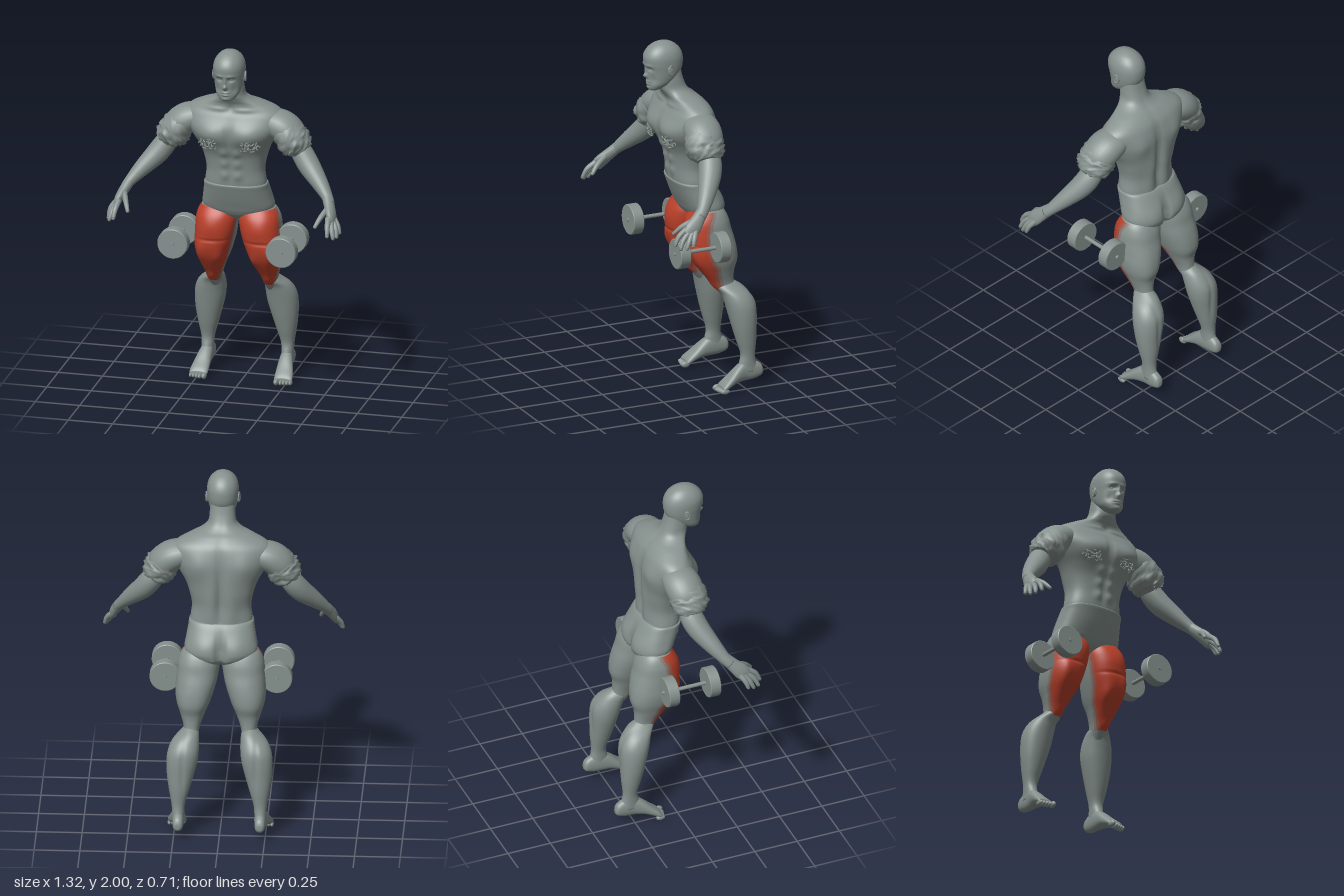
import * as THREE from 'three';

const mat = (name, color) => Object.assign(new THREE.MeshStandardMaterial({ color }), { name });
const grey = mat('body grey', 0x86918e);
const red = mat('muscle red', 0xbb402a);
const blend = mat('muscle edge', 0x9a594c);
const faint = mat('muscle fade', 0x8d776f);

// Smoothly interpolate a short table of section rows
function refine(rows, n) {
  const out = [], last = rows.length - 1;
  for (let i = 0; i < last; i++) {
    const [a, b, c, d] = [rows[Math.max(i - 1, 0)], rows[i], rows[i + 1], rows[Math.min(i + 2, last)]];
    for (let k = 0; k < n; k++) {
      const t = k / n;
      out.push(b.map((_, j) => 0.5 * (2 * b[j] + (c[j] - a[j]) * t
        + (2 * a[j] - 5 * b[j] + 4 * c[j] - d[j]) * t * t
        + (3 * b[j] - a[j] - 3 * c[j] + d[j]) * t * t * t)));
    }
  }
  return [...out, rows[last]];
}

// Join rings of points into a closed, outward-facing skin
function skin(rings) {
  const mid = r => r.map(() => r.reduce((s, p) => s.add(p), new THREE.Vector3()).divideScalar(r.length));
  const all = [mid(rings[0]), ...rings, mid(rings[rings.length - 1])];
  const n = rings[0].length, pts = all.flat(), index = [];
  for (let i = 0; i < all.length - 1; i++) for (let j = 0; j < n; j++) {
    const a = i * n + j, b = i * n + (j + 1) % n, c = a + n, d = b + n;
    if (i > 0) index.push(a, c, b);
    if (i < all.length - 2) index.push(b, c, d);
  }
  let volume = 0;
  const cross = new THREE.Vector3();
  for (let i = 0; i < index.length; i += 3)
    volume += pts[index[i]].dot(cross.crossVectors(pts[index[i + 1]], pts[index[i + 2]]));
  if (volume < 0) index.reverse();
  const g = new THREE.BufferGeometry().setFromPoints(pts);
  g.setIndex(index);
  g.computeVertexNormals();
  return g;
}

// Rows are [t, x0, x1, b0, b1]; b is z for upright parts and y for lengthwise parts.
// Bumps are [x, y, width, height, depth, side], pushed out of the front (1) or back (-1).
function loft(rows, { seg = 48, steps = 5, power = 2.3, along = 'y', bumps = [] } = {}) {
  const bend = v => Math.sign(v) * Math.abs(v) ** (2 / power);
  return skin(refine(rows, steps).map(([t, x0, x1, b0, b1]) => Array.from({ length: seg }, (_, j) => {
    const a = j / seg * Math.PI * 2, s = Math.sin(a);
    const x = (x0 + x1) / 2 + (x1 - x0) / 2 * bend(Math.cos(a));
    let b = (b0 + b1) / 2 + Math.abs(b1 - b0) / 2 * bend(s);
    for (const [bx, by, w, h, d, side] of bumps)
      b += side * d * Math.min(1, 1.5 * Math.max(0, s * side))
        * Math.exp(-(((Math.abs(x) - bx) / w) ** 2) - ((t - by) / h) ** 2);
    return along === 'y' ? new THREE.Vector3(x, t, b) : new THREE.Vector3(x, b, t);
  })));
}

// Rows are [x, y, z, radiusU, radiusV], with sections square to the path
function limb(rows, { seg = 24, steps = 5, rough = 0 } = {}) {
  const r = refine(rows, steps), at = i => new THREE.Vector3(...r[i].slice(0, 3));
  return skin(r.map((row, i) => {
    const t = at(Math.min(i + 1, r.length - 1)).sub(at(Math.max(i - 1, 0))).normalize();
    const u = t.clone().cross(new THREE.Vector3(0, 0, 1)).normalize(), v = u.clone().cross(t);
    return Array.from({ length: seg }, (_, j) => {
      const a = j / seg * Math.PI * 2, h = Math.sin(i * 12.99 + j * 78.23) * 43758.55;
      const k = 1 + rough * (h - Math.floor(h) - 0.5) * Math.min(1, i / r.length * 1.6);
      return at(i).addScaledVector(u, Math.cos(a) * row[3] * k).addScaledVector(v, Math.sin(a) * row[4] * k);
    });
  }));
}

const ball = (x, y, z, sx, sy, sz) => new THREE.SphereGeometry(1, 20, 14).scale(sx, sy, sz).translate(x, y, z);

function mirrored(geo) {
  const g = geo.clone().scale(-1, 1, 1), ix = g.index;
  for (let i = 0; i < ix.count; i += 3) {
    const b = ix.getX(i + 1);
    ix.setX(i + 1, ix.getX(i + 2));
    ix.setX(i + 2, b);
  }
  return g;
}

// Sort the thigh faces into grey, red and two fading edge colours
function paintThigh(g, front) {
  const p = g.attributes.position, ix = g.index.array, sets = [[], [], [], []];
  for (let i = 0; i < ix.length; i += 3) {
    const f = [ix[i], ix[i + 1], ix[i + 2]];
    const y = f.reduce((s, k) => s + p.getY(k), 0) / 3, z = f.reduce((s, k) => s + p.getZ(k), 0) / 3;
    const over = front(y) - z - THREE.MathUtils.clamp((y - 0.57) * 0.5, 0, 0.068);
    const inside = y < 1.035 && y > 0.57;
    sets[!inside || over > 0.034 ? 0 : over < 0 ? 1 : over < 0.017 ? 2 : 3].push(...f);
  }
  g.setIndex(sets.flat());
  let start = 0;
  sets.forEach((s, m) => { g.addGroup(start, s.length, m); start += s.length; });
  return g;
}

export function createModel() {
  const model = new THREE.Group();
  model.name = 'athlete';
  const add = (name, geo, m = grey) => {
    const mesh = new THREE.Mesh(geo, m);
    mesh.name = name;
    model.add(mesh);
  };
  const pair = (name, geo, m) => {
    add('left' + name, geo, m);
    add('right' + name, mirrored(geo), m);
  };
  const sym = rows => rows.map(([y, w, zf, zb]) => [y, -w, w, zb, zf]);

  // Torso and neck
  const abs = [1.255, 1.325, 1.39].map(y => [0.036, y, 0.024, 0.026, 0.011, 1]);
  add('torso', loft(sym([
    [1.16, 0.165, 0.08, -0.115], [1.2, 0.17, 0.092, -0.113], [1.28, 0.162, 0.1, -0.112], [1.36, 0.178, 0.115, -0.122],
    [1.42, 0.2, 0.14, -0.126], [1.48, 0.235, 0.162, -0.126], [1.54, 0.265, 0.166, -0.122], [1.6, 0.275, 0.142, -0.108],
    [1.64, 0.245, 0.122, -0.09], [1.675, 0.175, 0.122, -0.057], [1.7, 0.112, 0.135, -0.022],
    [1.73, 0.078, 0.15, 0.004], [1.78, 0.07, 0.155, 0.025], [1.84, 0.066, 0.15, 0.04]]), {
    seg: 96, steps: 7, bumps: [...abs,
      [0.11, 1.5, 0.085, 0.055, 0.022, 1], [0, 1.5, 0.014, 0.08, -0.014, 1], [0, 1.32, 0.01, 0.1, -0.006, 1],
      [0.07, 1.645, 0.06, 0.012, 0.006, 1], [0, 1.65, 0.018, 0.02, -0.01, 1],
      [0, 1.4, 0.022, 0.2, -0.024, -1], [0.13, 1.53, 0.06, 0.07, 0.014, -1], [0.06, 1.27, 0.035, 0.1, 0.01, -1]],
  }));

  // Torn patches on the chest
  for (let i = 0; i < 14; i++) {
    const a = i * 2.4, r = 0.011 * Math.sqrt(i);
    const g = new THREE.TorusGeometry(0.011, 0.004, 5, 7, 4.5).rotateX(a).rotateY(i);
    pair('ChestTear', g.translate(0.115 + r * 1.25 * Math.cos(a), 1.455 + r * Math.sin(a), 0.16 - r * 0.4 * Math.cos(a)));
  }

  // Pelvis
  add('pelvis', loft(sym([
    [0.96, 0.06, -0.04, -0.14], [0.99, 0.14, 0.004, -0.175], [1.02, 0.185, 0.026, -0.183], [1.05, 0.2, 0.04, -0.18],
    [1.1, 0.192, 0.062, -0.168], [1.16, 0.181, 0.085, -0.142], [1.19, 0.177, 0.095, -0.124], [1.197, 0.168, 0.088, -0.115]]), {
    seg: 72, power: 2.5, bumps: [[0.09, 1.06, 0.065, 0.06, 0.014, -1], [0, 1.03, 0.018, 0.09, -0.04, -1]],
  }));

  // Head with sculpted face
  add('head', loft(sym([
    [1.727, 0.025, 0.216, 0.175], [1.738, 0.043, 0.224, 0.145], [1.765, 0.064, 0.229, 0.1], [1.8, 0.075, 0.231, 0.055],
    [1.84, 0.082, 0.236, 0.032], [1.88, 0.086, 0.246, 0.025], [1.92, 0.085, 0.248, 0.028], [1.955, 0.073, 0.231, 0.045],
    [1.982, 0.05, 0.2, 0.075], [1.996, 0.024, 0.167, 0.108], [2, 0.005, 0.145, 0.13]]), {
    seg: 112, steps: 9, power: 2.15, bumps: [
      [0.032, 1.855, 0.017, 0.011, -0.012, 1], [0.03, 1.876, 0.024, 0.008, 0.005, 1], [0, 1.812, 0.011, 0.014, 0.022, 1],
      [0, 1.842, 0.009, 0.022, 0.011, 1], [0, 1.779, 0.02, 0.006, 0.008, 1], [0, 1.766, 0.017, 0.006, 0.008, 1],
      [0, 1.773, 0.024, 0.002, -0.007, 1], [0, 1.742, 0.02, 0.011, 0.006, 1], [0.045, 1.795, 0.014, 0.025, -0.006, 1]],
  }));
  pair('Eye', ball(0.031, 1.855, 0.213, 0.013, 0.009, 0.011));
  pair('Ear', ball(0.084, 1.85, 0.128, 0.009, 0.029, 0.018));
  pair('EarRim', new THREE.TorusGeometry(0.018, 0.0045, 8, 20).scale(0.8, 1.4, 1).rotateY(Math.PI / 2 + 0.25).translate(0.089, 1.852, 0.127));

  // Arms: smooth shoulder, ragged upper arm, forearm
  pair('Shoulder', limb([[0.17, 1.575, 0.015, 0.06, 0.085], [0.23, 1.56, 0.018, 0.078, 0.1],
    [0.285, 1.535, 0.024, 0.085, 0.104], [0.33, 1.49, 0.03, 0.08, 0.095], [0.36, 1.44, 0.032, 0.05, 0.06]]));
  pair('UpperArm', limb([[0.27, 1.545, 0.028, 0.075, 0.09], [0.305, 1.51, 0.034, 0.086, 0.104], [0.335, 1.472, 0.036, 0.093, 0.104],
    [0.365, 1.438, 0.036, 0.08, 0.09], [0.385, 1.412, 0.038, 0.055, 0.062]], { seg: 26, steps: 4, rough: 0.3 }));
  pair('Forearm', limb([[0.35, 1.45, 0.022, 0.05, 0.055], [0.385, 1.395, 0.03, 0.06, 0.064], [0.43, 1.335, 0.055, 0.06, 0.062],
    [0.5, 1.262, 0.105, 0.046, 0.048], [0.555, 1.2, 0.152, 0.031, 0.034], [0.575, 1.17, 0.18, 0.028, 0.033]]));

  // Hands
  pair('Palm', limb([[0.553, 1.205, 0.148, 0.029, 0.032], [0.578, 1.16, 0.192, 0.028, 0.037], [0.598, 1.12, 0.232, 0.024, 0.044],
    [0.61, 1.085, 0.258, 0.014, 0.036]]));
  const fingers = {
    Thumb: [[0.573, 1.155, 0.215], [0.548, 1.12, 0.275], [0.528, 1.08, 0.315]],
    Index: [[0.59, 1.12, 0.265], [0.597, 1.085, 0.315], [0.602, 1.04, 0.34]],
    Middle: [[0.602, 1.105, 0.255], [0.618, 1.065, 0.3], [0.63, 1.024, 0.32]],
    Ring: [[0.608, 1.1, 0.24], [0.632, 1.062, 0.27], [0.642, 1.024, 0.288]],
    Little: [[0.61, 1.105, 0.222], [0.638, 1.07, 0.243], [0.65, 1.037, 0.253]],
  };
  for (const [name, path] of Object.entries(fingers)) {
    const radii = [0.017, 0.0145, 0.0105];
    pair(name + 'Finger', limb(path.map((p, i) => [...p, radii[i], radii[i]]), { seg: 12 }));
    pair(name + 'Tip', ball(...path[2], 0.0105, 0.0105, 0.0105));
  }

  // Thighs, with the front muscle coloured
  const thigh = [
    [1.065, 0.06, 0.165, -0.12, -0.02], [1.03, 0.015, 0.21, -0.163, 0.012], [0.98, 0.004, 0.233, -0.188, 0.04],
    [0.92, 0.01, 0.24, -0.202, 0.05], [0.86, 0.021, 0.245, -0.219, 0.048], [0.8, 0.038, 0.248, -0.23, 0.04],
    [0.74, 0.059, 0.24, -0.231, 0.016], [0.68, 0.085, 0.221, -0.214, -0.025], [0.62, 0.108, 0.203, -0.212, -0.073],
    [0.57, 0.12, 0.197, -0.22, -0.112], [0.53, 0.135, 0.185, -0.22, -0.145]];
  const front = y => {
    const i = Math.max(1, thigh.findIndex(r => r[0] <= y)), a = thigh[i - 1], b = thigh[i];
    return THREE.MathUtils.mapLinear(y, a[0], b[0], a[4], b[4]);
  };
  pair('Thigh', paintThigh(loft(thigh, {
    seg: 128, steps: 9, bumps: [[0.09, 0.73, 0.03, 0.05, 0.012, 1], [0.2, 0.78, 0.03, 0.07, 0.01, 1],
      [0.13, 0.85, 0.1, 0.008, -0.006, 1], [0.14, 0.93, 0.06, 0.05, 0.006, 1], [0.155, 0.6, 0.022, 0.03, 0.008, 1]],
  }), front), [grey, red, blend, faint]);

  // Lower legs
  pair('LowerLeg', loft([
    [0.62, 0.14, 0.185, -0.2, -0.12], [0.59, 0.118, 0.215, -0.25, -0.108], [0.55, 0.113, 0.258, -0.288, -0.133],
    [0.5, 0.113, 0.282, -0.315, -0.148], [0.44, 0.12, 0.29, -0.322, -0.163], [0.36, 0.14, 0.287, -0.32, -0.183],
    [0.28, 0.163, 0.276, -0.317, -0.205], [0.2, 0.186, 0.262, -0.31, -0.228], [0.15, 0.191, 0.258, -0.316, -0.22],
    [0.1, 0.192, 0.257, -0.335, -0.205]], { power: 2.1, bumps: [[0.2, 0.43, 0.012, 0.12, -0.008, -1]] }));

  // Feet and toes
  pair('Foot', loft([
    [-0.357, 0.212, 0.238, 0.075, 0.105], [-0.343, 0.198, 0.25, 0.06, 0.132], [-0.3, 0.193, 0.255, 0.047, 0.155],
    [-0.25, 0.19, 0.258, 0.044, 0.16], [-0.2, 0.188, 0.27, 0.04, 0.13], [-0.15, 0.187, 0.283, 0.025, 0.085],
    [-0.115, 0.187, 0.289, 0.011, 0.056], [-0.1, 0.192, 0.285, 0.01, 0.038]], { along: 'z', seg: 36 }));
  for (let i = 0; i < 5; i++) {
    const r = i ? 0.0105 : 0.0145;
    pair('Toe' + (i + 1), ball(0.203 + (i ? 0.007 : 0) + i * 0.0175, r + 0.004, -0.094 - i * 0.004, r, r + 0.004, 0.026));
  }

  // Dumbbells
  const rod = (r, z0, z1) => new THREE.CylinderGeometry(r, r, z1 - z0, 20).rotateX(Math.PI / 2).translate(0.305, 0.87, (z0 + z1) / 2);
  const plate = new THREE.LatheGeometry([[0, -0.031], [0.081, -0.031], [0.081, -0.031], [0.085, -0.027], [0.085, -0.027],
    [0.085, 0.027], [0.085, 0.027], [0.081, 0.031], [0.081, 0.031], [0, 0.031]].map(p => new THREE.Vector2(...p)), 48).rotateX(Math.PI / 2);
  pair('DumbbellBar', rod(0.011, -0.113, 0.213));
  for (const [end, z] of [['Front', 0.174], ['Rear', -0.069]])
    pair('Dumbbell' + end + 'Weight', plate.clone().translate(0.305, 0.87, z));

  return model;
}
